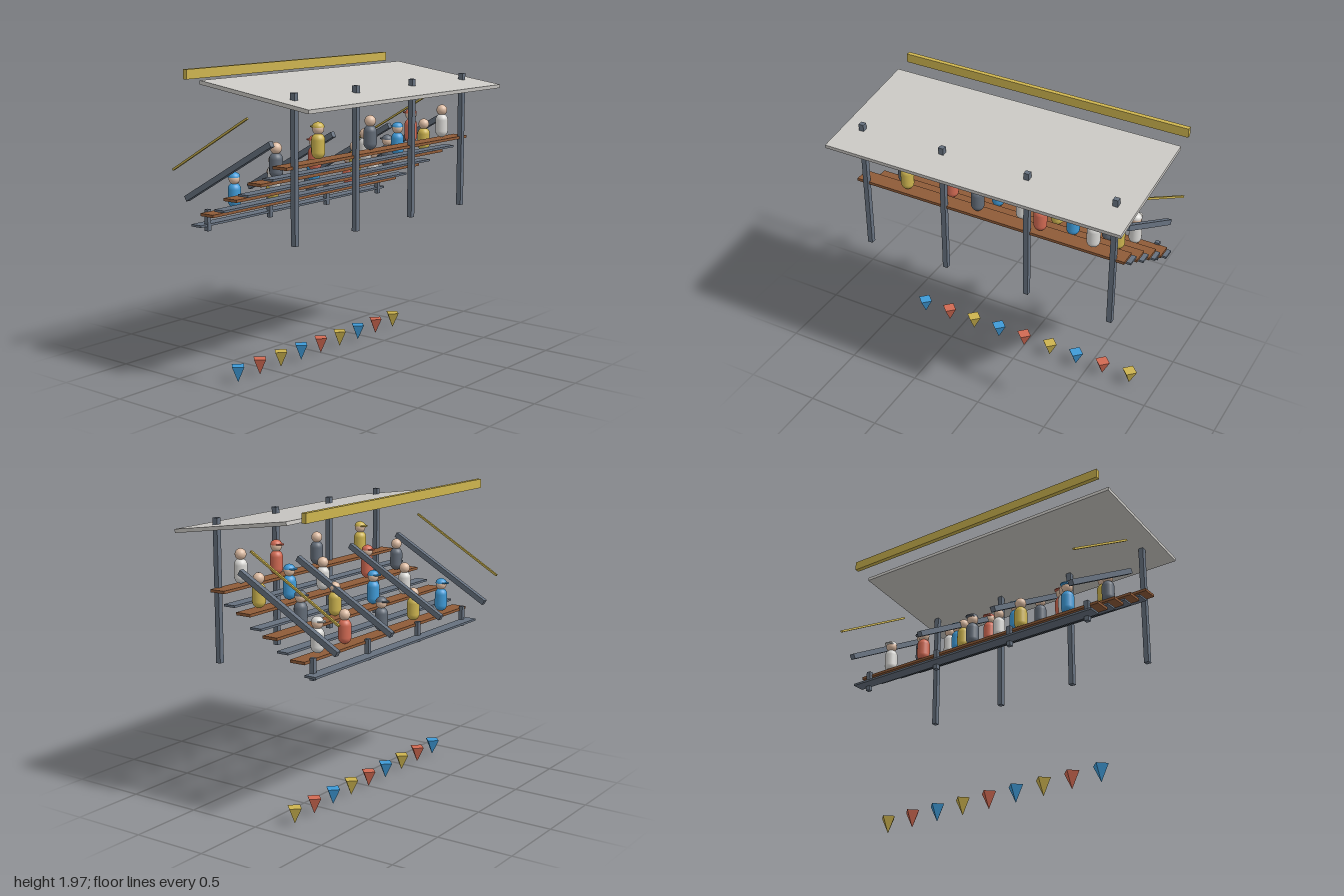
import * as THREE from 'three';

const mat = (name, color) => {
  const m = new THREE.MeshStandardMaterial({ color });
  m.name = name;
  return m;
};

export function createModel() {
  const model = new THREE.Group();
  model.name = 'grandstand';

  const steel = mat('slate steel', 0x66717f);
  const roofGrey = mat('roof grey', 0xcbc9c5);
  const wood = mat('bench wood', 0x8f5b38);
  const gold = mat('gold', 0xcdb44f);
  const blue = mat('blue', 0x3f9bd8);
  const red = mat('red', 0xd26a53);
  const white = mat('white', 0xd9d8d5);
  const slate = mat('slate cloth', 0x626b77);
  const skin = mat('skin', 0xdcbba2);
  const flat = { gold: gold.clone(), blue: blue.clone(), red: red.clone() };
  for (const m of Object.values(flat)) m.flatShading = true;

  const add = (parent, name, geometry, material, x, y, z) => {
    const mesh = new THREE.Mesh(geometry, material);
    mesh.name = name;
    mesh.position.set(x, y, z);
    parent.add(mesh);
    return mesh;
  };
  const box = (name, material, w, h, d, x, y, z) =>
    add(model, name, new THREE.BoxGeometry(w, h, d), material, x, y, z);
  // Sloping box between a front end and a back end, each given as [y, z]
  const slope = (name, material, w, t, x, [y1, z1], [y2, z2]) => {
    const mesh = box(name, material, w, t, Math.hypot(y1 - y2, z1 - z2), x, (y1 + y2) / 2, (z1 + z2) / 2);
    mesh.rotation.x = -Math.atan2(y1 - y2, z1 - z2);
  };

  // Roof and the long fascia beam behind it
  slope('roof', roofGrey, 2, 0.024, 0, [1.776, 0.585], [1.894, -0.266]);
  box('fasciaBeam', gold, 2, 0.06, 0.031, 0, 1.935, -0.39);

  // Columns, sloping rakers and short back posts in four bays
  for (const x of [-0.868, -0.292, 0.292, 0.868]) {
    box('column', steel, 0.034, 0.904, 0.034, x, 1.409, 0.364);
    slope('raker', steel, 0.034, 0.036, x, [1.547, 0.187], [1.142, -0.528]);
    box('backPost', steel, 0.03, 0.136, 0.028, x, 1.026, -0.35);
  }

  // Thin sloping handrails at both ends
  for (const x of [-0.93, 0.93])
    slope('handrail', gold, 0.014, 0.013, x, [1.695, 0.053], [1.327, -0.583]);

  // Spectators, facing -z
  const bodyGeo = new THREE.CapsuleGeometry(0.042, 0.074, 8, 20);
  const headGeo = new THREE.SphereGeometry(0.036, 20, 14);
  const capGeo = new THREE.SphereGeometry(0.038, 20, 8, 0, Math.PI * 2, 0, Math.PI / 2);
  const brimGeo = new THREE.CylinderGeometry(0.03, 0.03, 0.007, 20);
  const spectator = (x, y, z, shirt, hasCap) => {
    const person = new THREE.Group();
    person.name = 'spectator';
    person.position.set(x, y, z);
    add(person, 'body', bodyGeo, shirt, 0, 0.094, 0);
    add(person, 'head', headGeo, skin, 0, 0.198, 0);
    if (hasCap) {
      add(person, 'cap', capGeo, shirt, 0, 0.208, 0).scale.y = 0.85;
      add(person, 'capBrim', brimGeo, shirt, 0, 0.211, -0.026);
    }
    model.add(person);
  };

  // Four tiers: bench, footboard and people as [x, shirt]; every second one wears a cap
  const tiers = [
    [0, [[-0.59, gold], [-0.08, slate], [0.356, red], [0.712, white]]],
    [1, [[-0.745, slate], [-0.384, red], [0.127, white], [0.482, blue], [0.787, gold]]],
    [1, [[-0.539, white], [-0.157, blue], [0.276, gold], [0.635, slate]]],
    [0, [[-0.69, blue], [-0.335, gold], [0.047, slate], [0.455, red], [0.736, white]]],
  ];
  tiers.forEach(([firstCap, people], i) => {
    const y = 1.423 - i * 0.117, z = 0.312 - i * 0.2;
    box('bench', wood, 1.88, 0.018, 0.107, 0, y, z);
    box('footboard', steel, 1.88, 0.014, 0.082, 0, y - 0.077, z - 0.093);
    people.forEach(([x, shirt], j) => spectator(x, y, z, shirt, j % 2 === firstCap));
  });

  // Row of pennants: four-sided points hanging downward
  const pennantGeo = new THREE.ConeGeometry(0.054, 0.108, 4);
  const order = [flat.blue, flat.red, flat.gold];
  for (let i = 0; i < 9; i++)
    add(model, 'pennant', pennantGeo, order[i % 3], (i - 4) * 0.2035, 0.054, -0.163).rotation.x = Math.PI;

  return model;
}
